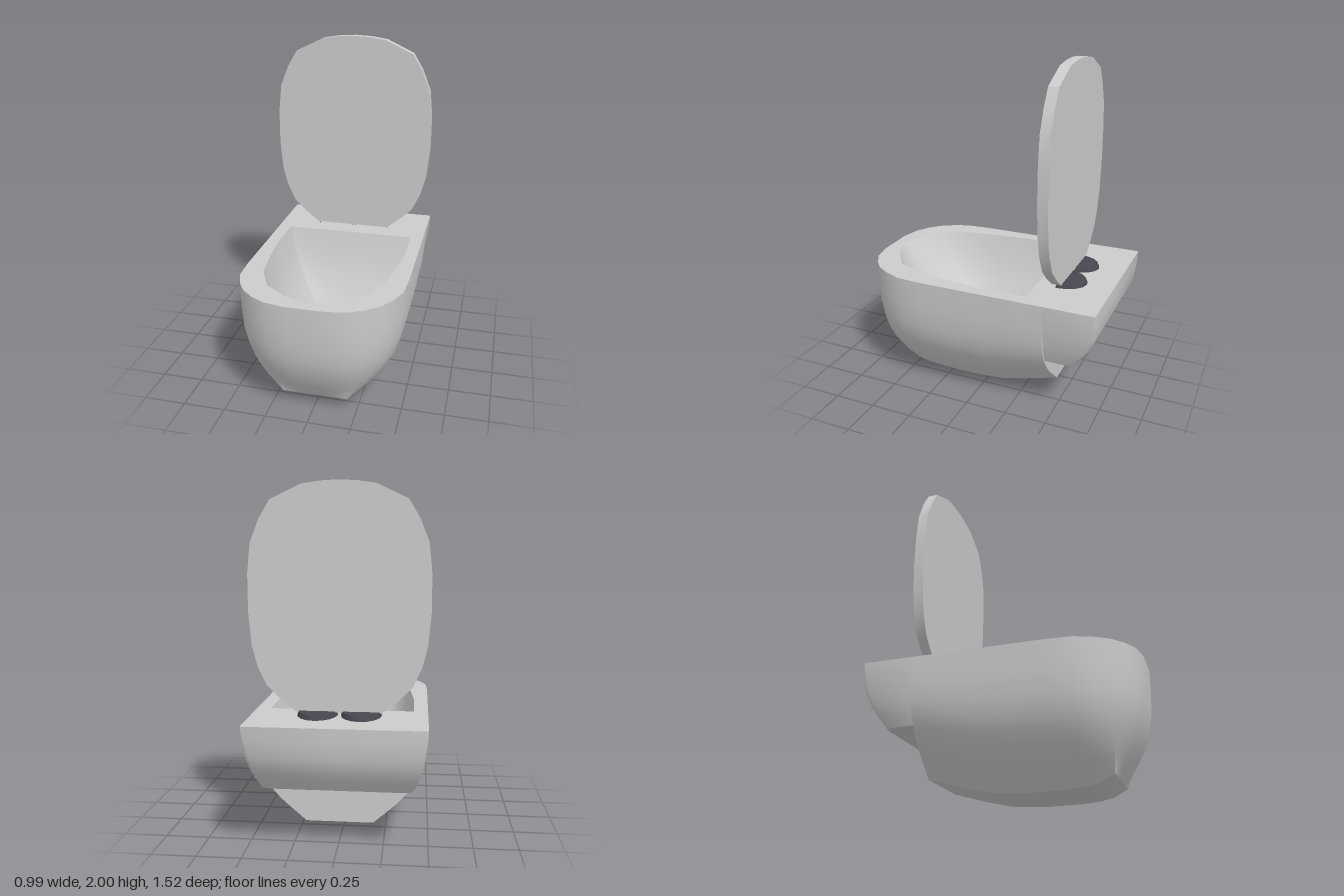
import * as THREE from 'three';
import { toCreasedNormals } from 'three/addons/utils/BufferGeometryUtils.js';

const TOP = 0.73;
const grey = new THREE.MeshStandardMaterial({ color: 0xcccccc, side: THREE.DoubleSide });
const dark = new THREE.MeshStandardMaterial({ color: 0x484850, side: THREE.DoubleSide });
const lerp = THREE.MathUtils.lerp;

// Piecewise-linear lookup in a list of [key, value] with rising keys
function lookup(table, k) {
  for (let i = 1; i < table.length; i++) {
    const [a, va] = table[i - 1], [b, vb] = table[i];
    if (k <= b) return lerp(va, vb, Math.max(0, (k - a) / (b - a)));
  }
  return table[table.length - 1][1];
}

// Half outline running back to front on +x, completed by its mirror image
const mirror = (half) => [...half, ...half.slice(1, -1).reverse().map(([x, ...r]) => [-x, ...r])];

// Skin between mirrored rings of [x, y, z]; end caps are strips across the model
function loft(halves, capStart, capEnd) {
  const rings = halves.map(mirror), h = halves[0].length, n = rings[0].length;
  const index = [];
  const quad = (a, b, c, d) => index.push(a, b, c, a, c, d);
  for (let r = 0; r + 1 < rings.length; r++) {
    for (let i = 0; i < n; i++) {
      const j = (i + 1) % n;
      quad(r * n + i, (r + 1) * n + i, (r + 1) * n + j, r * n + j);
    }
  }
  for (let i = 0; i < h - 1; i++) {
    const m = (n - i) % n, last = (rings.length - 1) * n;
    if (capStart) quad(i, i + 1, n - i - 1, m);
    if (capEnd) quad(last + m, last + n - i - 1, last + i + 1, last + i);
  }
  const g = new THREE.BufferGeometry();
  g.setAttribute('position', new THREE.Float32BufferAttribute(rings.flat(2), 3));
  g.setIndex(index);
  return toCreasedNormals(g, 0.6);
}

export function createModel() {
  const model = new THREE.Group();
  const add = (name, geometry, material = grey) => {
    const mesh = new THREE.Mesh(geometry, material);
    mesh.name = name;
    model.add(mesh);
    return mesh;
  };

  // Outer body: rim outline above, narrow curved keel below
  const rim = [[0, -0.46], [0.49, -0.46], [0.49, -0.25], [0.49, -0.1], [0.49, 0.1], [0.49, 0.3], [0.48, 0.45],
    [0.44, 0.55], [0.39, 0.63], [0.32, 0.69], [0.24, 0.735], [0.12, 0.76], [0, 0.76]];
  const keel = [[0, -0.46], [0.19, -0.46], [0.19, -0.25], [0.19, -0.1], [0.19, 0.1], [0.19, 0.3], [0.19, 0.42],
    [0.19, 0.5], [0.19, 0.58], [0.15, 0.58], [0.11, 0.58], [0.06, 0.58], [0, 0.58]];
  const keelY = [[-0.46, 0.11], [-0.25, 0.05], [-0.1, 0.015], [0.1, 0], [0.3, 0.002],
    [0.42, 0.01], [0.5, 0.027], [0.58, 0.07]];
  const flare = [[0, 0], [0.06, 0.14], [0.13, 0.31], [0.2, 0.47], [0.28, 0.62], [0.37, 0.76],
    [0.47, 0.87], [0.6, 0.95], [0.78, 0.99], [1, 1]];
  add('bowlBody', loft(flare.map(([t, s]) => keel.map(([x, z], i) => [
    lerp(x, rim[i][0], s), lerp(lookup(keelY, z), TOP, t), lerp(z, rim[i][1], s),
  ])), true, false));

  // Flat rim around the opening
  const opening = [[0, -0.335], [0.2, -0.335], [0.41, -0.335], [0.41, -0.05], [0.39, 0.18],
    [0.36, 0.375], [0.28, 0.54], [0.15, 0.635], [0, 0.695]];
  const toPoints = (half) => mirror(half).map(([x, z]) => new THREE.Vector2(x, -z));
  const rimShape = new THREE.Shape(toPoints(rim));
  rimShape.holes.push(new THREE.Path(toPoints(opening)));
  add('rim', new THREE.ShapeGeometry(rimShape).rotateX(-Math.PI / 2).translate(0, TOP, 0));

  // Basin: funnel from the opening to a small sump
  const throat = [[0, -0.15], [0.12, -0.15], [0.2, -0.12], [0.22, 0], [0.21, 0.1],
    [0.19, 0.17], [0.17, 0.2], [0.1, 0.2], [0, 0.2]];
  const sump = [[0, -0.03], [0.07, -0.03], [0.12, -0.02], [0.13, 0.02], [0.13, 0.05],
    [0.11, 0.085], [0.08, 0.095], [0.04, 0.095], [0, 0.095]];
  const ring = (half, y) => half.map(([x, z]) => [x, y, z]);
  const blend = (s) => throat.map(([x, z], i) => [lerp(x, opening[i][0], s), lerp(z, opening[i][1], s)]);
  add('basin', loft([ring(opening, TOP), ring(blend(0.77), 0.57), ring(blend(0.42), 0.43),
    ring(throat, 0.32), ring(sump, 0.17)], false, true));

  // Rear shelf: [height, half width, back z, corner cut]
  const shelf = [[0.355, 0.42, -0.635, 0.05], [0.42, 0.445, -0.68, 0.045], [0.48, 0.46, -0.72, 0.04],
    [0.56, 0.475, -0.75, 0.03], [0.66, 0.487, -0.758, 0.015], [TOP, 0.49, -0.76, 0.008]];
  add('rearShelf', loft(shelf.map(([y, w, z, c]) => [
    [0, y, z], [w - c, y, z], [w - 0.3 * c, y, z + 0.3 * c], [w, y, z + c], [w, y, -0.455], [0, y, -0.455],
  ]), true, true));

  // Raised lid
  const lidHalf = [[0, 2], [0.1, 1.995], [0.2, 1.98], [0.37, 1.9], [0.43, 1.8], [0.48, 1.675], [0.497, 1.51],
    [0.497, 1.3], [0.48, 1.115], [0.45, 1], [0.4, 0.895], [0.33, 0.825], [0.235, 0.75], [0, 0.75]];
  const lidShape = new THREE.Shape(mirror(lidHalf).map(([x, y]) => new THREE.Vector2(x, y)));
  const lid = new THREE.ExtrudeGeometry(lidShape, { depth: 0.06, bevelEnabled: false });
  add('lid', toCreasedNormals(lid.translate(0, 0, -0.485), 0.5));

  // Half-round hinge plates behind the lid
  for (const [name, side] of [['leftHinge', 1], ['rightHinge', -1]]) {
    const plate = new THREE.CylinderGeometry(0.105, 0.115, 0.03, 8, 1, false, Math.PI / 2, Math.PI);
    plate.scale(1, 1, 1.35);
    add(name, toCreasedNormals(plate, 0.5), dark).position.set(side * 0.122, 0.741, -0.45);
  }

  return model;
}
